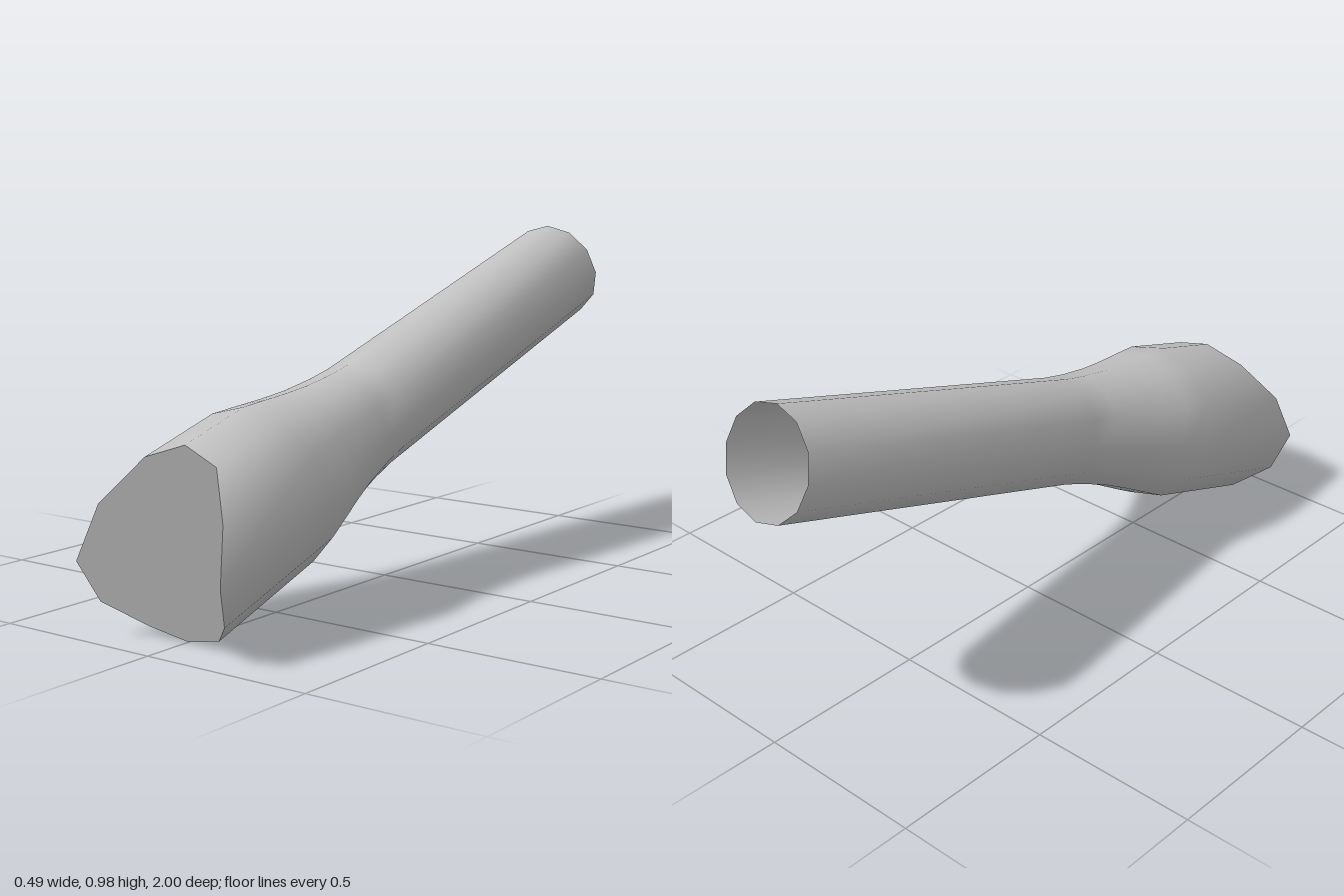
import * as THREE from 'three';

const SIDES = 12;
const SLOPE = 0.322; // rise of the tube axis towards the back
const COS = 1 / Math.hypot(1, SLOPE), SIN = SLOPE * COS;

// point on a ring around the sloping axis; z is where the ring's centre lies
function ringPoint(centreZ, r, angle) {
  const v = r * Math.cos(angle);
  const y = 0.239 - SLOPE * (centreZ - 0.9);
  return [r * Math.sin(angle), y + v * COS, centreZ + v * SIN];
}

export function createModel() {
  const grey = new THREE.MeshStandardMaterial({ color: 0xc0c0c0, side: THREE.DoubleSide });
  grey.name = 'lightGrey';
  const group = new THREE.Group();
  group.name = 'flaredTube';

  // notched mouth rim: depth of each corner, from the top round to the bottom
  const rimZ = [0.85, 0.87, 0.95, 1.0, 0.95, 0.87, 0.85];
  const headR = 0.243;
  const rim = [];
  for (let i = 0; i < SIDES; i++) {
    const a = (i / SIDES) * Math.PI * 2;
    const z = rimZ[i <= 6 ? i : SIDES - i];
    rim.push(ringPoint(z - headR * Math.cos(a) * SIN, headR, a));
  }

  // tube wall: rim, flared head, neck, long straight shaft open at the back
  const rings = [
    [0.55, 0.238], [0.47, 0.219], [0.39, 0.199], [0.3, 0.18],
    [0.2, 0.166], [0.12, 0.16], [-0.95, 0.155],
  ];
  const pos = rim.flat();
  for (const [z, r] of rings) {
    for (let i = 0; i < SIDES; i++) pos.push(...ringPoint(z, r, (i / SIDES) * Math.PI * 2));
  }
  const index = [];
  for (let k = 0; k < rings.length; k++) {
    for (let i = 0; i < SIDES; i++) {
      const j = (i + 1) % SIDES;
      const a = k * SIDES + i, b = k * SIDES + j;
      index.push(a, b, a + SIDES, b, b + SIDES, a + SIDES);
    }
  }
  const wall = new THREE.BufferGeometry();
  wall.setAttribute('position', new THREE.Float32BufferAttribute(pos, 3));
  wall.setIndex(index);
  wall.computeVertexNormals();
  const tube = new THREE.Mesh(wall, grey);
  tube.name = 'tubeWall';
  group.add(tube);

  // mouth cap: fan around the rim's middle, shaded as one face
  const mid = [0, 1, 2].map((c) => rim.reduce((s, p) => s + p[c], 0) / SIDES);
  const capIndex = [], normals = [];
  for (let i = 0; i < SIDES; i++) capIndex.push(SIDES, (i + 1) % SIDES, i);
  for (let i = 0; i <= SIDES; i++) normals.push(0, -SIN, COS);
  const cap = new THREE.BufferGeometry();
  cap.setAttribute('position', new THREE.Float32BufferAttribute([...rim.flat(), ...mid], 3));
  cap.setAttribute('normal', new THREE.Float32BufferAttribute(normals, 3));
  cap.setIndex(capIndex);
  const mouth = new THREE.Mesh(cap, grey);
  mouth.name = 'mouthCap';
  group.add(mouth);

  return group;
}
